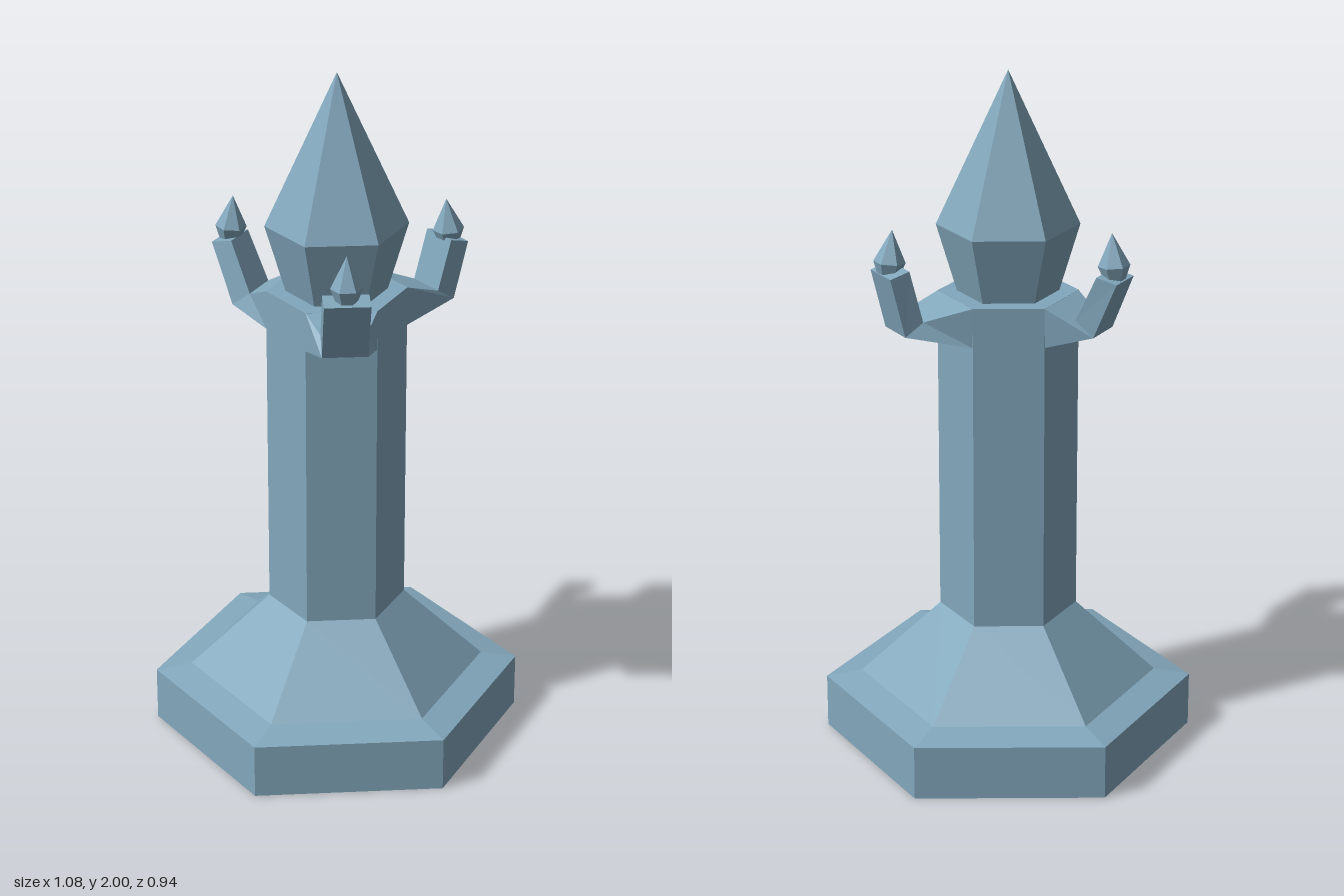
import * as THREE from 'three';

const stone = new THREE.MeshStandardMaterial({ color: 0x82a7bc });
stone.name = 'blueStone';

function facetedMesh(name, geometry) {
  const flat = geometry.index ? geometry.toNonIndexed() : geometry;
  flat.computeVertexNormals();
  const mesh = new THREE.Mesh(flat, stone);
  mesh.name = name;
  return mesh;
}

// Six-sided turned solid with corners on the x axis; profile of [radius, y]
function hexSolid(name, profile) {
  const points = profile.map(([r, y]) => new THREE.Vector2(r, y));
  return facetedMesh(name, new THREE.LatheGeometry(points, 6, Math.PI / 6));
}

// Bent arm pointing to +z, lofted through four-cornered sections.
// Section: x centre, half width, outer [z, y], inner [z, y]
function armGeometry(sections) {
  const rings = sections.map(([x, w, [zo, yo], [zi, yi]]) => [
    [x - w, yo, zo], [x + w, yo, zo], [x + w, yi, zi], [x - w, yi, zi],
  ]);
  const positions = [];
  const quad = (a, b, c, d) => positions.push(...a, ...b, ...c, ...a, ...c, ...d);
  for (let s = 0; s < rings.length - 1; s++) {
    const a = rings[s], b = rings[s + 1];
    for (let i = 0; i < 4; i++) {
      const j = (i + 1) % 4;
      quad(a[i], a[j], b[j], b[i]);
    }
  }
  quad(...rings[rings.length - 1]);
  const geometry = new THREE.BufferGeometry();
  geometry.setAttribute('position', new THREE.Float32BufferAttribute(positions, 3));
  return geometry;
}

export function createModel() {
  const group = new THREE.Group();
  group.name = 'tower';

  group.add(hexSolid('base', [[0, 0], [0.54, 0], [0.54, 0.16], [0.435, 0.18], [0.2, 0.4]]));
  group.add(hexSolid('shaft', [[0.2, 0.4], [0.2, 1.365], [0, 1.365]]));
  group.add(hexSolid('spire', [[0.145, 1.365], [0.203, 1.56], [0, 2]]));

  // Three arms, each bent a little differently, with a small pointed finial
  const root = [0, 0.1, [0.172, 1.25], [0.172, 1.365]];
  const arms = [
    {
      name: 'frontArm', angle: 0, finial: [0, 1.47, 0.35], lean: 0,
      elbow: [0, 0.064, [0.305, 1.285], [0.252, 1.33]],
      tip: [0, 0.064, [0.39, 1.465], [0.317, 1.473]],
    },
    {
      name: 'backLeftArm', angle: 2 * Math.PI / 3, finial: [-0.05, 1.455, 0.355], lean: -0.1,
      elbow: [-0.03, 0.058, [0.347, 1.29], [0.29, 1.325]],
      tip: [-0.042, 0.058, [0.385, 1.46], [0.325, 1.475]],
    },
    {
      name: 'backRightArm', angle: -2 * Math.PI / 3, finial: [-0.02, 1.46, 0.348], lean: -0.08,
      elbow: [0, 0.058, [0.303, 1.288], [0.247, 1.33]],
      tip: [-0.02, 0.052, [0.38, 1.457], [0.318, 1.47]],
    },
  ];
  for (const { name, angle, finial, lean, elbow, tip } of arms) {
    const arm = new THREE.Group();
    arm.name = name;
    arm.rotation.y = angle;
    arm.add(facetedMesh('bracket', armGeometry([root, elbow, tip])));
    const point = hexSolid('finial', [[0, -0.01], [0.028, -0.01], [0.045, 0.035], [0, 0.127]]);
    point.position.set(...finial);
    point.rotation.x = lean;
    arm.add(point);
    group.add(arm);
  }
  return group;
}
